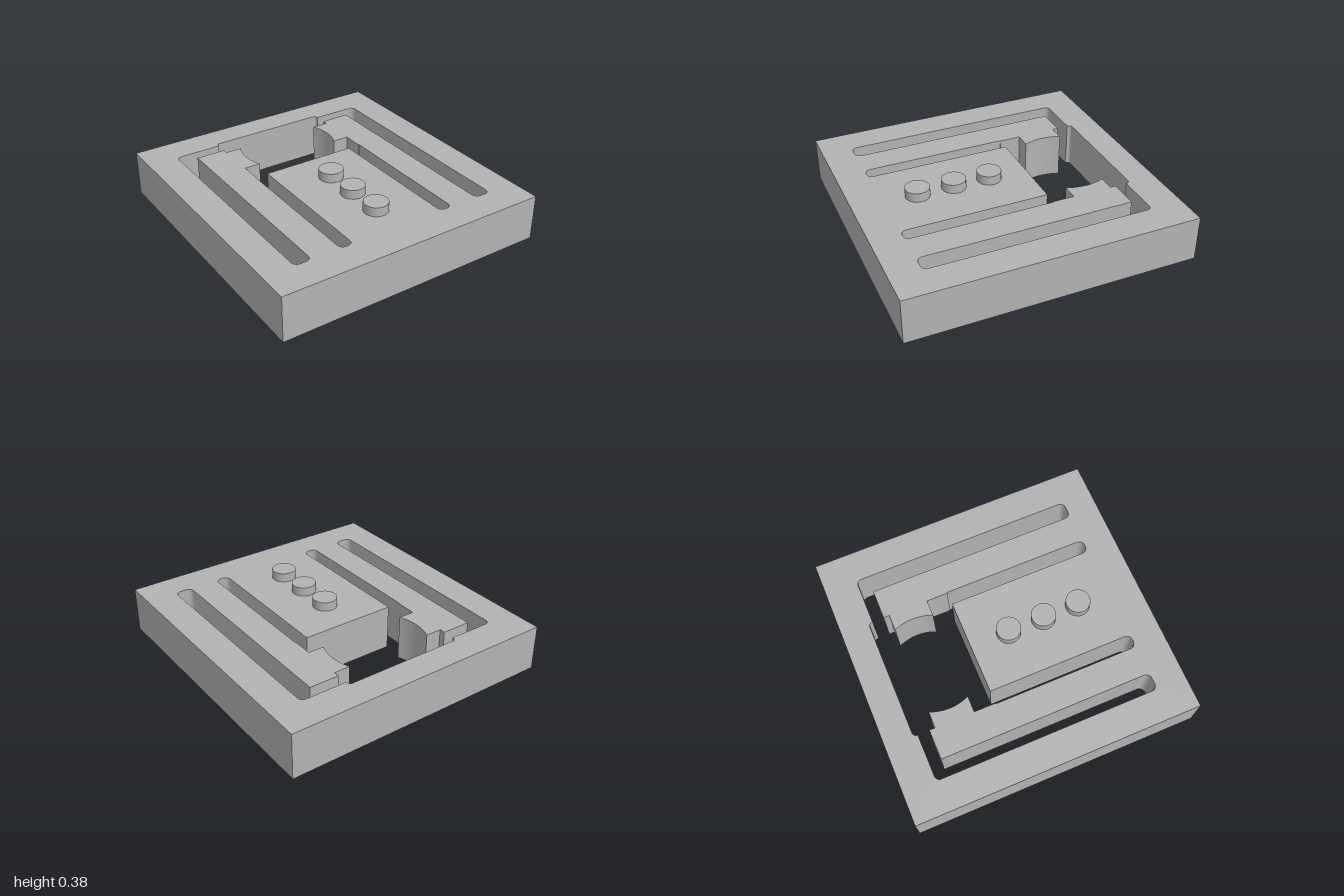
import * as THREE from 'three';
import { toCreasedNormals } from 'three/addons/utils/BufferGeometryUtils.js';

const HEIGHT = 0.32;

// Closed path through [x, z, radius] corners, rounding those with a radius
function roundedPath(corners) {
  const path = new THREE.Path();
  const pts = corners.map(([x, z, r = 0]) => ({ p: new THREE.Vector2(x, -z), r }));
  pts.forEach(({ p, r }, i) => {
    const prev = pts[(i + pts.length - 1) % pts.length].p;
    const next = pts[(i + 1) % pts.length].p;
    const toward = (q) => p.clone().add(q.clone().sub(p).setLength(r));
    const start = r ? toward(prev) : p;
    if (i === 0) path.moveTo(start.x, start.y);
    else path.lineTo(start.x, start.y);
    if (r) {
      // cubic close to a quarter circle
      const end = toward(next);
      const a = start.clone().lerp(p, 0.5523), b = end.clone().lerp(p, 0.5523);
      path.bezierCurveTo(a.x, a.y, b.x, b.y, end.x, end.y);
    }
  });
  path.closePath();
  return path;
}

// Concave gripping face of a jaw: part of a circle about the socket centre
function jawArc() {
  const pts = [], r = 0.34, zc = -0.517, half = 0.1375, n = 16;
  for (let i = 0; i <= n; i++) {
    const dz = -half + (2 * half * i) / n;
    pts.push([Math.sqrt(r * r - dz * dz), zc + dz]);
  }
  return pts;
}

export function createModel() {
  const group = new THREE.Group();
  const grey = new THREE.MeshStandardMaterial({ color: 0xb2b2b2 });
  grey.name = 'grey';

  // Plate outline
  const plate = new THREE.Shape();
  plate.moveTo(-0.965, -1);
  plate.lineTo(0.965, -1);
  plate.lineTo(0.965, 1);
  plate.lineTo(-0.965, 1);
  plate.closePath();

  // Half of the cut-out: back wall, outer slot, arm with jaw, inner slot, tongue
  const half = [
    [0.425, -0.805, 0.025], [0.425, -0.775],
    [0.752, -0.775, 0.035], [0.752, 0.79, 0.04], [0.633, 0.79, 0.04],
    [0.633, -0.695], [0.425, -0.695], [0.425, -0.655],
    ...jawArc(),
    [0.425, -0.38], [0.425, -0.23], [0.43, -0.23],
    [0.43, 0.79, 0.04], [0.337, 0.79, 0.04], [0.337, -0.23],
  ];
  const mirrored = half.map(([x, z, r]) => [-x, z, r]).reverse();
  plate.holes.push(roundedPath([...half, ...mirrored]));

  const plateGeometry = new THREE.ExtrudeGeometry(plate, {
    depth: HEIGHT, bevelEnabled: false, curveSegments: 8,
  });
  plateGeometry.rotateX(-Math.PI / 2);
  const body = new THREE.Mesh(toCreasedNormals(plateGeometry, 0.6), grey);
  body.name = 'slottedPlate';
  group.add(body);

  // Row of round studs on the tongue
  const studGeometry = new THREE.CylinderGeometry(0.084, 0.084, 0.065, 48);
  [0.045, 0.3, 0.555].forEach((z, i) => {
    const stud = new THREE.Mesh(studGeometry, grey);
    stud.name = `stud${i + 1}`;
    stud.position.set(0, HEIGHT + 0.0325, z);
    group.add(stud);
  });

  return group;
}
